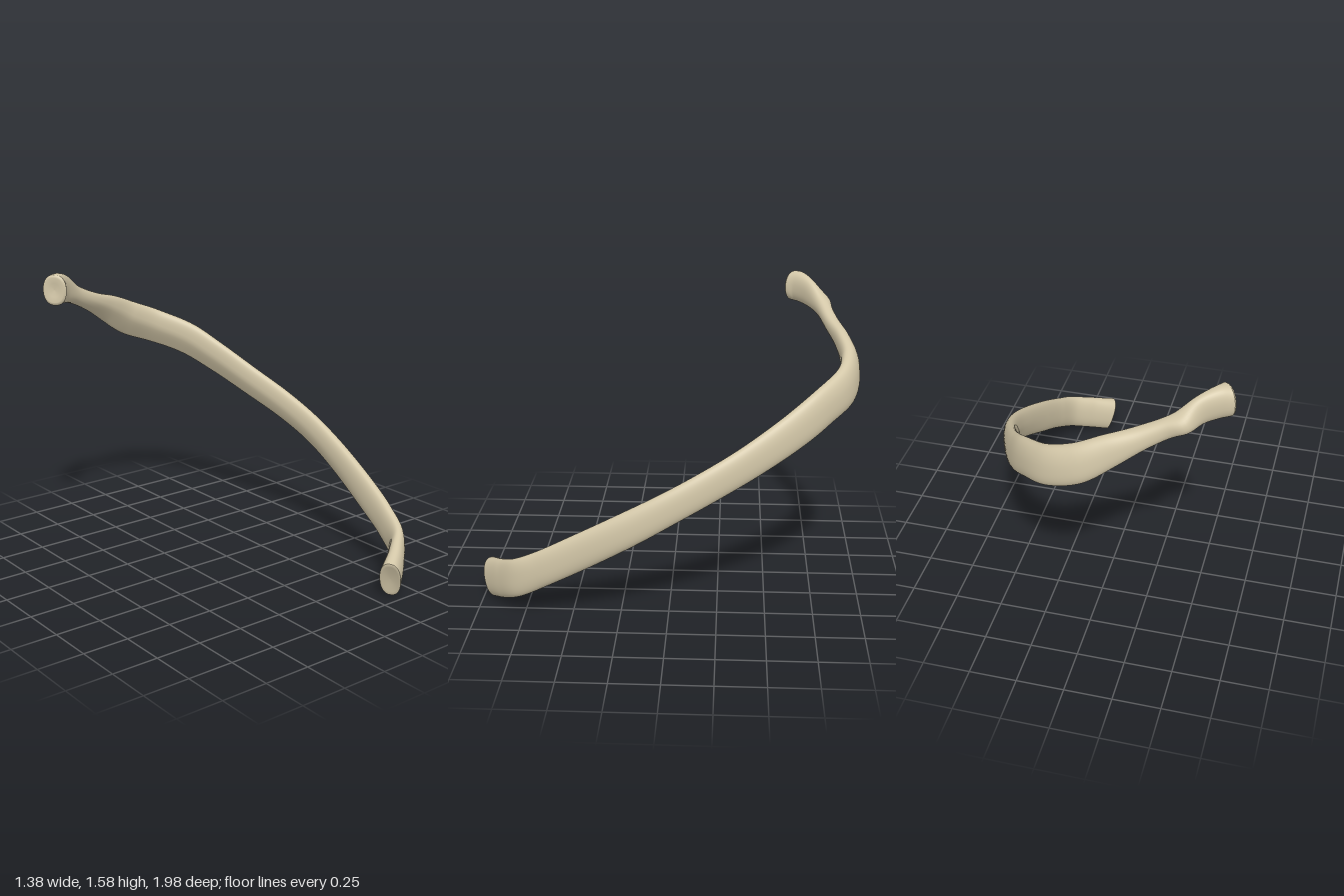
import * as THREE from 'three';

// Stations from head (back) to sternal end (front):
// centre x, y, z, half height, half thickness, outward lean of the lower edge
const STATIONS = [
  [-0.655, 1.503, -0.655, 0.083, 0.066, 0.0],
  [-0.62, 1.502, -0.685, 0.084, 0.05, 0.0],
  [-0.55, 1.483, -0.735, 0.075, 0.038, 0.0],
  [-0.45, 1.432, -0.798, 0.052, 0.04, 0.0],
  [-0.3, 1.362, -0.85, 0.055, 0.043, 0.008],
  [-0.15, 1.293, -0.902, 0.08, 0.045, 0.014],
  [0.0, 1.215, -0.932, 0.098, 0.05, 0.016],
  [0.15, 1.155, -0.9, 0.1, 0.046, 0.016],
  [0.3, 1.08, -0.775, 0.098, 0.042, 0.012],
  [0.4, 0.985, -0.63, 0.094, 0.039, 0.01],
  [0.505, 0.855, -0.41, 0.088, 0.037, 0.006],
  [0.582, 0.745, -0.2, 0.085, 0.037, 0.004],
  [0.625, 0.64, 0.0, 0.085, 0.038, 0.004],
  [0.635, 0.53, 0.2, 0.09, 0.041, 0.004],
  [0.618, 0.392, 0.45, 0.094, 0.04, 0.0],
  [0.588, 0.282, 0.65, 0.094, 0.04, 0.0],
  [0.54, 0.208, 0.785, 0.1, 0.04, 0.0],
  [0.45, 0.158, 0.87, 0.104, 0.046, 0.0],
  [0.335, 0.112, 0.948, 0.106, 0.056, 0.0],
];
const RINGS = 150, SIDES = 40;

// Rounded, slightly squared cross-section with a groove low on the inner face
function buildRings() {
  const path = new THREE.CatmullRomCurve3(STATIONS.map(s => new THREE.Vector3(s[0], s[1], s[2])));
  const size = new THREE.CatmullRomCurve3(
    STATIONS.map(s => new THREE.Vector3(s[3], s[4], s[5])), false, 'catmullrom', 0.5);
  const soft = (v, p) => Math.sign(v) * Math.abs(v) ** p;
  const rings = [];
  for (let i = 0; i <= RINGS; i++) {
    const u = i / RINGS;
    const centre = path.getPoint(u), dim = size.getPoint(u);
    const tangent = path.getTangent(u);
    const up = new THREE.Vector3(0, 1, 0).addScaledVector(tangent, -tangent.y).normalize();
    const out = new THREE.Vector3().crossVectors(up, tangent);
    const groove = 0.75 * THREE.MathUtils.smoothstep(u, 0.12, 0.32)
      * (1 - THREE.MathUtils.smoothstep(u, 0.5, 0.85));
    const tubercle = 0.028 * Math.exp(-(((centre.x + 0.47) / 0.045) ** 2));
    const ring = [];
    for (let j = 0; j < SIDES; j++) {
      const a = j / SIDES * Math.PI * 2, c = Math.cos(a), s = Math.sin(a);
      let side = dim.y * soft(s, 0.85);
      if (s < 0 && c < 0) side *= 1 + groove * c;
      side += -c * dim.z + tubercle * Math.max(0, s - 0.3 * c);
      ring.push(centre.clone()
        .addScaledVector(up, dim.x * soft(c, 0.9))
        .addScaledVector(out, side));
    }
    rings.push(ring);
  }
  return rings;
}

// Skin over a list of rings, running along the bone
function skin(rings) {
  const pos = [], index = [];
  rings.forEach(r => r.forEach(p => pos.push(p.x, p.y, p.z)));
  for (let i = 0; i < rings.length - 1; i++) {
    for (let j = 0; j < SIDES; j++) {
      const k = (j + 1) % SIDES, a = i * SIDES, b = a + SIDES;
      index.push(a + j, b + j, a + k, a + k, b + j, b + k);
    }
  }
  const geo = new THREE.BufferGeometry();
  geo.setAttribute('position', new THREE.Float32BufferAttribute(pos, 3));
  geo.setIndex(index);
  geo.computeVertexNormals();
  return geo;
}

// Rings that close an end: [scale, push along the axis] per step
function endRings(ring, axis, steps) {
  const mid = ring.reduce((m, p) => m.add(p), new THREE.Vector3()).divideScalar(SIDES);
  return steps.map(([scale, push]) =>
    ring.map(p => mid.clone().lerp(p, scale).addScaledVector(axis, push)));
}

export function createModel() {
  const group = new THREE.Group();
  group.name = 'rib';
  const bone = new THREE.MeshStandardMaterial({ color: 0xd3c7a8 });
  bone.name = 'bone';

  const rings = buildRings();
  const first = rings[0], last = rings[RINGS];
  const headAxis = new THREE.Vector3(-0.8, 0.05, 0.6).normalize();
  const endAxis = new THREE.Vector3(-0.72, -0.33, 0.6).normalize();

  const add = (name, geo) => {
    const mesh = new THREE.Mesh(geo, bone);
    mesh.name = name;
    group.add(mesh);
  };
  add('shaft', skin(rings));
  // Dished joint face with a rounded rim
  add('headFace', skin(endRings(first, headAxis,
    [[1, 0], [0.94, 0.008], [0.8, 0.012], [0.45, 0.006], [0, 0.003]]).reverse()));
  // Blunt, slightly hollow front end
  add('sternalFace', skin(endRings(last, endAxis,
    [[1, 0], [0.95, 0.004], [0.8, 0.002], [0.4, -0.004], [0, -0.005]])));
  return group;
}
